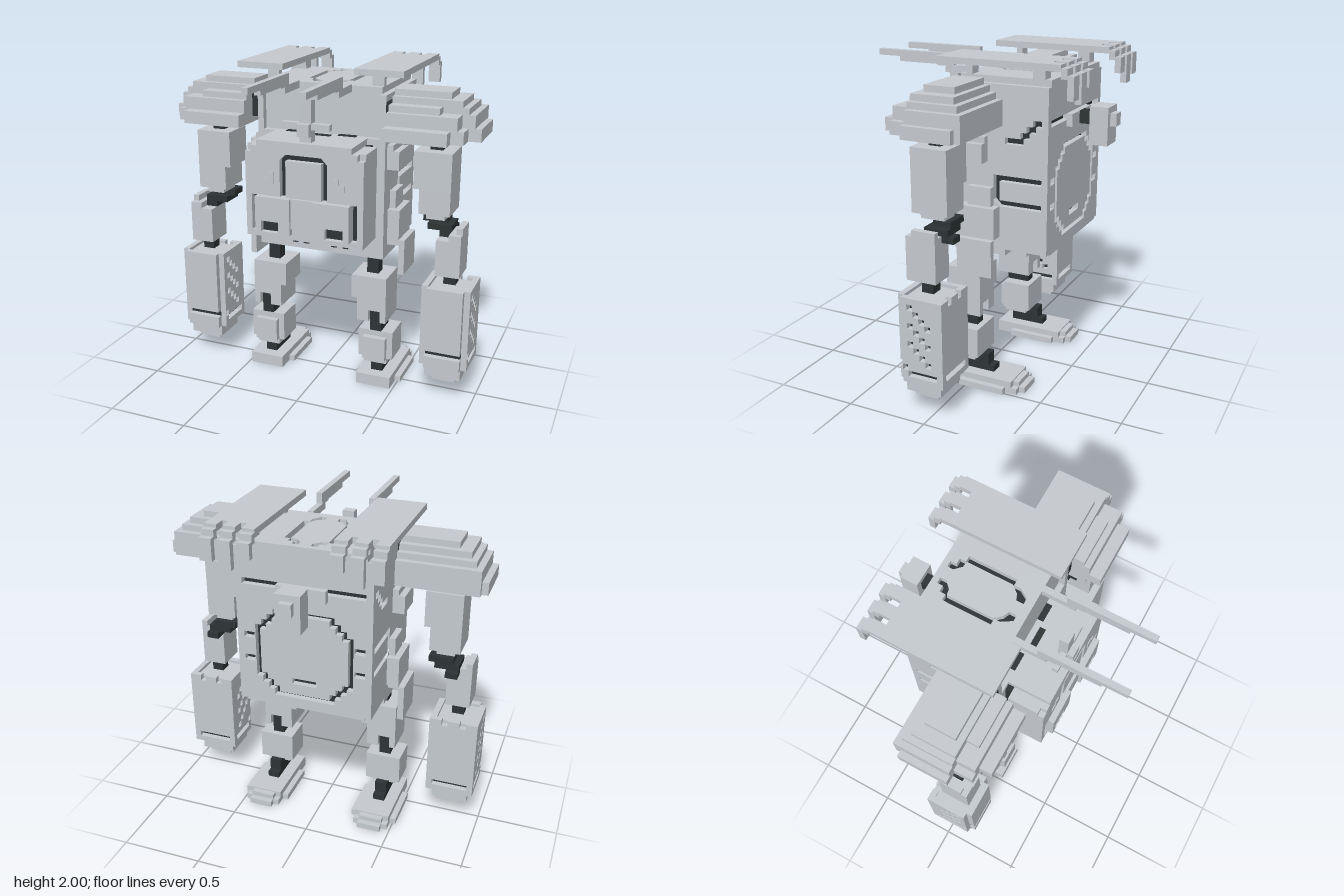
import * as THREE from 'three';

// All sizes below are in block units; 27 blocks make one unit.
const U = 1 / 27;

export function createModel() {
  const model = new THREE.Group();
  model.name = 'walkingRobot';
  const grey = new THREE.MeshStandardMaterial({ color: 0xc6cbd0 });
  grey.name = 'armour grey';
  const dark = new THREE.MeshStandardMaterial({ color: 0x2d3435 });
  dark.name = 'joint black';

  let parent = model;
  const part = (name) => {
    parent = new THREE.Group();
    parent.name = name;
    model.add(parent);
  };
  const add = (name, mat, geo) => {
    geo.scale(U, U, U);
    const m = new THREE.Mesh(geo, mat);
    m.name = name;
    parent.add(m);
  };
  const box = (name, mat, x0, x1, y0, y1, z0, z1) => {
    const g = new THREE.BoxGeometry(Math.abs(x1 - x0), y1 - y0, z1 - z0);
    g.translate((x0 + x1) / 2, (y0 + y1) / 2, (z0 + z1) / 2);
    add(name, mat, g);
  };
  const rect = (a, b, c, d) => [[a, c], [b, c], [b, d], [a, d]];
  // Plate with cut-outs; u,v are x,y (axis z), z,y (axis x) or x,z (axis y)
  const plate = (name, mat, axis, w0, w1, outline, holes = []) => {
    const vec = (p) => p.map(([a, b]) => new THREE.Vector2(a, b));
    const s = new THREE.Shape(vec(outline));
    holes.forEach((h) => s.holes.push(new THREE.Path(vec(h))));
    const g = new THREE.ExtrudeGeometry(s, { depth: w1 - w0, bevelEnabled: false });
    if (axis === 'z') g.translate(0, 0, w0);
    if (axis === 'x') g.rotateY(-Math.PI / 2).translate(w1, 0, 0);
    if (axis === 'y') g.rotateX(Math.PI / 2).translate(0, w1, 0);
    add(name, mat, g);
  };
  const flip = (pts) => pts.map(([a, b]) => [-a, b]);

  // Torso: dark core seen through grooves in the armour plates
  part('torso');
  box('torsoCore', dark, -10, 10, 24, 50, -12, 1);
  box('torsoFrontUpper', grey, -10, 10, 43, 50, 1, 2);
  box('torsoFrontLower', grey, -10, 10, 24, 43, 1, 3);
  box('belly', grey, -11, 11, 23, 24, -6, 3);
  box('bellyRear', grey, -10, 10, 23.7, 24, -13, -6);
  const bandGroove = [[-12, 35], [-12, 36], [-4, 36], [-4, 32], [-5, 31], [-12, 31], [-12, 32], [-5, 32], [-5, 35]];
  const stepGroove = [[-6, 41], [-9, 41], [-9, 42], [-10, 42], [-10, 43], [-11, 43], [-11, 44], [-12, 44],
    [-12, 45], [-10.5, 45], [-10.5, 44], [-9.5, 44], [-9.5, 43], [-8.5, 43], [-8.5, 42], [-6, 42]];
  for (const s of [1, -1]) {
    plate('torsoSide', grey, 'x', s > 0 ? 10 : -11, s > 0 ? 11 : -10,
      rect(-13, 3, 24, 50), [bandGroove, stepGroove]);
  }
  // Stepped octagon used for the rear hatch and its groove
  const octagon = (w, y0, y1) => {
    const q = [[w, y0 + 3], [w - 1, y0 + 3], [w - 1, y0 + 2], [w - 2, y0 + 2], [w - 2, y0 + 1], [w - 3, y0 + 1], [w - 3, y0]];
    const top = q.map(([x, y]) => [x, y0 + y1 - y]).reverse();
    return [...q, ...flip(q).reverse(), ...flip(top).reverse(), ...top];
  };
  const backCuts = [];
  for (const a of [31, 35]) backCuts.push(rect(8.2, 9.9, a, a + 1), rect(-9.9, -8.2, a, a + 1));
  backCuts.push(rect(3, 9.9, 44, 45), rect(-9.9, -3, 44, 45));
  plate('torsoBack', grey, 'z', -13, -12, rect(-10, 10, 24, 50), [octagon(8, 25.5, 40.5), ...backCuts]);
  plate('backHatch', grey, 'z', -13, -12, octagon(7.2, 26.2, 39.8), [rect(-2, 2, 28, 29)]);
  const topGroove = [[1, -12], [2, -12], [2, -11], [3, -11], [3, -10], [4, -10], [4, -2], [3, -2], [3, -1],
    [2, 0.6], [1, 0.6], [1, -0.6], [2, -1], [3, -2.2], [3, -9.8], [2, -10], [1, -11]];
  plate('torsoTop', grey, 'y', 50, 51, rect(-10, 10, -13, 2), [topGroove, flip(topGroove)]);
  box('waistSlot', dark, -2, 2, 26, 27, 3, 3.2);

  // Chest cabin
  part('chest');
  box('chestCore', dark, -9, 9, 28, 41, 4, 9);
  box('chestSeam', dark, -9, 9, 27, 42, 3, 4);
  box('chestFloor', grey, -10, 10, 27, 28, 4, 9);
  box('chestRoof', grey, -10, 10, 41, 42, 4, 9);
  box('chestRoofStep', grey, -8, 8, 42, 43, 3, 9);
  const canopyGroove = [[-4, 34], [-4, 40], [-3, 41], [3, 41], [4, 40], [4, 34], [3, 34], [3, 40], [-3, 40], [-3, 34]];
  plate('chestFront', grey, 'z', 9, 10,
    [[-10, 27], [10, 27], [10, 41], [9, 41], [9, 42], [8, 42], [8, 43], [-8, 43], [-8, 42], [-9, 42], [-9, 41], [-10, 41]],
    [canopyGroove, rect(8, 9, 28, 34), rect(-9, -8, 28, 34)]);
  box('lowerBrow', grey, -2, 2, 29, 34, 10, 10.5);
  for (const s of [1, -1]) {
    box('chestSide', grey, s * 9, s * 10, 28, 41, 4, 9);
    plate('frontFlap', grey, 'z', 10, 11, rect(s > 0 ? 2 : -8, s > 0 ? 8 : -2, 28, 34),
      [rect(s > 0 ? 4 : -7, s > 0 ? 7 : -4, 28.2, 30)]);
    box('flapWindow', dark, s * 4, s * 7, 28.2, 30, 10, 10.1);
    box('chestTab', grey, s * 5, s * 7, 36, 37, 10, 10.15);
    box('chestTabUpright', grey, s * 5, s * 6, 37, 38, 10, 10.15);
    box('roofSeam', dark, s * 3, s * 6, 43, 43.1, 2, 3);
    box('bellySlotInner', dark, s * 2, s * 3, 24, 26, 3, 3.2);
    box('bellySlotOuter', dark, s * 4, s * 5, 24, 26, 3, 3.2);
  }
  box('roofSeamCentre', dark, -2, 2, 43, 43.1, 3, 4);
  box('sensorMast', grey, -1, 1, 43, 50, 7.5, 9);
  box('sensorCross', grey, -4, 4, 45, 46, 8, 9);
  box('sensorNose', grey, -1, 1, 44, 46, 9, 10);

  // Rear thruster
  part('thruster');
  box('thrusterMount', grey, -4, 4, 43, 45, -14, -13);
  box('thrusterNeck', dark, -1, 1, 43, 45, -16, -14);
  box('thrusterBody', grey, -2, 2, 42, 46, -19, -16);
  box('thrusterNozzle', grey, -2, 2, 40, 42, -19, -16);
  box('thrusterCap', grey, -1, 1, 43, 45, -20, -19);

  for (const s of [1, -1]) {
    const side = s > 0 ? 'left' : 'right';
    const b = (name, mat, x0, x1, ...r) => box(name, mat, s * x0, s * x1, ...r);

    // Roof wing with three rear fingers
    part(side + 'Wing');
    b('wingPanel', grey, 6, 14, 53, 54, -14, 4);
    [[6, 8, 50], [9, 11, 48], [12, 14, 49]].forEach(([x0, x1, y]) => {
      b('wingFinger', grey, x0, x1, 53, 54, -16, -14);
      b('fingerBend', grey, x0, x1, 52, 53.5, -17, -16);
      b('fingerTip', grey, x0, x1, y, 52.5, -18, -17);
    });
    b('wingPostFront', grey, 8, 10, 51, 53, 0, 1);
    b('wingPostRear', grey, 8, 10, 50, 53, -12, -10);

    // Forward rod on the roof
    part(side + 'Rod');
    b('rodBarrel', grey, 4, 5, 52, 53, 9, 20);
    b('rodSleeve', grey, 4, 5, 51.2, 52, 7, 16);
    b('rodRear', grey, 4, 5, 51, 53, 6, 9);
    b('rodBracket', grey, 4, 5, 50, 51.2, 2, 7.5);

    // Stepped shoulder pad
    part(side + 'Shoulder');
    b('shoulderJoint', dark, 11, 12, 45, 49, -1, 3);
    b('padRim', grey, 12, 26, 44, 46, -5, 3);
    b('padRimRear', grey, 12, 25, 44, 46, -6, -5);
    b('padRimFront', grey, 12, 24, 44, 46, 3, 6);
    b('padRimNose', grey, 12, 22, 44, 46, 6, 8);
    [[25, 46, 48, -6, 3], [23, 46, 48, 3, 6], [24, 48, 49, -5, 3], [20, 48, 49, 3, 5],
      [23, 49, 50, -4, 3], [21, 50, 51, -3, 2]].forEach(([x, y0, y1, z0, z1]) =>
      b('padStep', grey, 12, x, y0, y1, z0, z1));

    // Arm
    part(side + 'Arm');
    b('armNeck', dark, 18, 20, 42, 44, 0, 2);
    b('upperArm', grey, 16, 22, 36, 42, -2, 4);
    b('upperArmLower', grey, 17, 22, 32, 36, -2, 4);
    b('upperArmEnd', grey, 18, 21, 31, 32, -1, 3);
    b('elbowTop', dark, 17, 21, 30, 31, -2, 1);
    b('elbowMiddle', dark, 18, 22, 29, 30, -2, 2);
    b('elbowBottom', dark, 20, 22, 28, 29, -3, 2);
    b('lowerArm', grey, 20, 24, 22, 28, -1, 4);
    b('lowerArmTop', grey, 22, 24, 28, 29, -1, 4);
    b('lowerArmPeg', grey, 23, 24, 29, 30, -1, 3);
    b('wrist', dark, 21, 23, 20, 22, 0, 2);

    // Forearm pod: dark core, perforated side plates
    part(side + 'Forearm');
    b('podCore', dark, 19, 25, 6, 19, -2, 4);
    const slots = [rect(-2, 3, 7, 8), rect(3.03, 3.95, 8, 9)];
    for (const y of [18, 15, 12]) {
      for (let i = 0; i < 4; i++) slots.push(rect(2.02 - i, 2.98 - i, y + 0.02 - i, y + 0.98 - i));
    }
    for (const x of [18, 25]) {
      const x0 = s > 0 ? x : -x - 1;
      plate('podSide', grey, 'x', x0, x0 + 1, rect(-3, 4, 6, 20), slots);
    }
    b('podFront', grey, 19, 25, 9, 20, 4, 5);
    b('podFrontLower', grey, 19, 25, 6, 8, 4, 5);
    b('podBack', grey, 19, 25, 8, 19, -3, -2);
    b('podBackLower', grey, 19, 25, 6, 7, -3, -2);
    b('podBackTooth', grey, 19, 20, 19, 20, -3, -2);
    b('podBackTooth', grey, 21, 23, 19, 20, -3, -2);
    b('podBackTooth', grey, 24, 25, 19, 20, -3, -2);
    b('podLid', grey, 19, 25, 19, 19.5, -2, 4);
    b('podTipUpper', grey, 19, 25, 4, 6, -2, 4);
    b('podTip', grey, 20, 24, 3, 4, -1, 3);

    // Hip armour
    part(side + 'HipArmour');
    b('hipPlate', grey, 11, 13, 26, 31, -5, 1);
    b('hipPlateTop', grey, 11, 12, 31, 34, -4, 0);
    b('hipFlap', grey, 13, 14, 20, 26, -5, 1);
    b('hipBracket', grey, 11, 13, 25, 26, -4, 1);
    b('sideBlock', grey, 11, 13, 38, 41, -3, 2);
    b('sideBlockTop', grey, 11, 12, 41, 42, -3, 2);

    // Leg and rearward foot
    part(side + 'Leg');
    b('hipJoint', dark, 8, 10, 20, 23.5, 0, 2);
    b('thigh', grey, 6, 12, 16, 20, -2, 4);
    b('thighLower', grey, 7, 12, 14, 16, -2, 4);
    b('thighCheekOuter', grey, 11, 12, 12, 14, -2, 4);
    b('thighCheekInner', grey, 7, 9, 12, 14, -2, 4);
    b('knee', dark, 9, 11, 10, 14, -1, 3);
    b('shin', grey, 7, 13, 5, 10, -2, 3);
    b('shinGuard', grey, 8, 12, 5, 9, 3, 4);
    b('shinEnd', grey, 8, 12, 4, 5, -1, 3);
    b('ankle', dark, 9, 11, 2, 4, -1, 2);
    b('ankleRear', dark, 9, 11, 2, 5, -3, -1);
    b('ankleHeel', dark, 9, 11, 2, 3, -4, -3);
    b('footFront', grey, 7, 13, 0, 2, 0, 4);
    b('footMiddle', grey, 6, 14, 0, 1, -7, 1);
    b('footMiddleTop', grey, 7, 13, 1, 2, -8, 0);
    b('footRear', grey, 7, 13, 0, 1, -9, -7);
    b('footTail', grey, 8, 12, 0, 1, -10, -9);
    b('footTailTop', grey, 8, 12, 1, 1.8, -9, -8);
  }
  return model;
}
